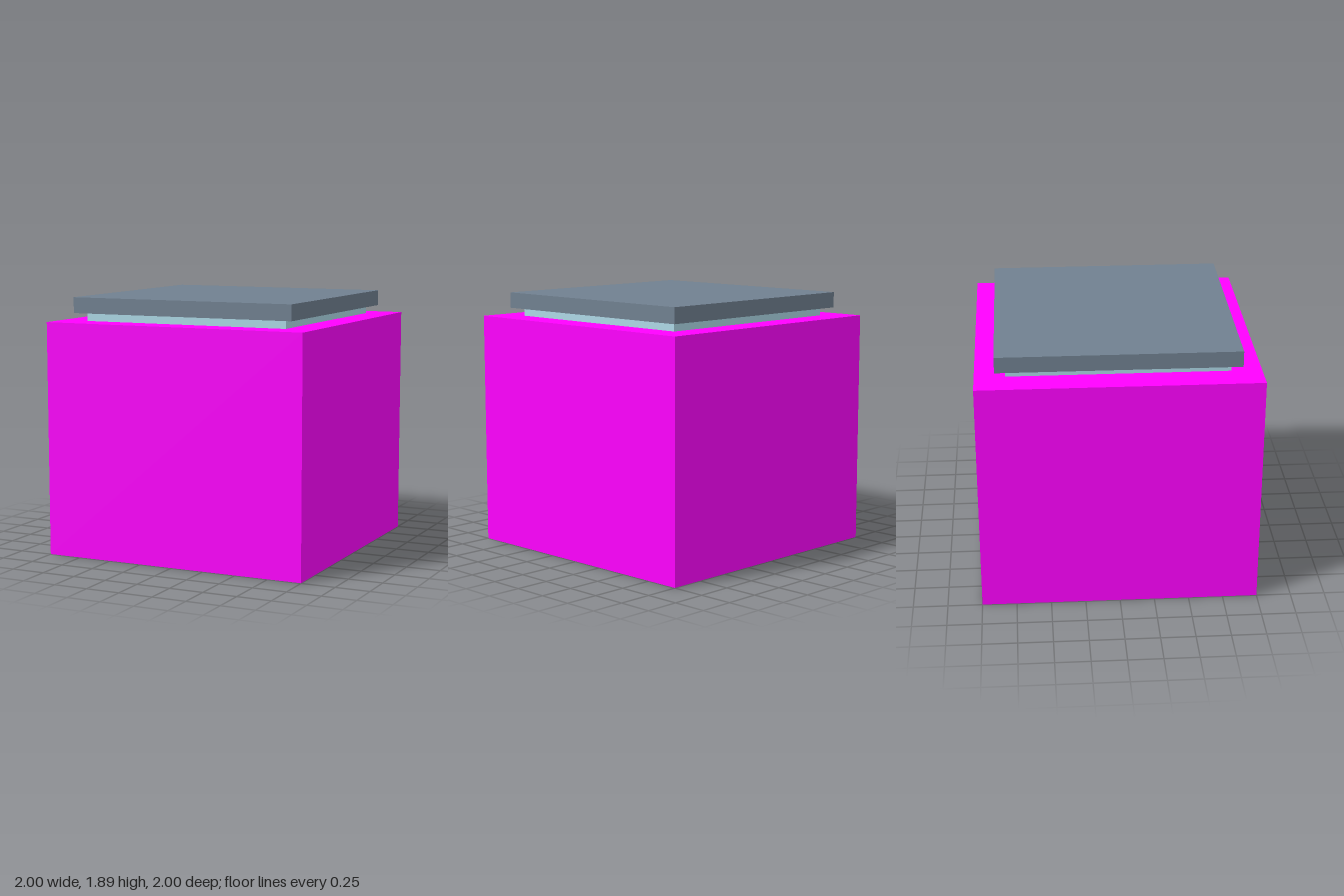
import * as THREE from 'three';

// A square slab of the given width, spanning bottom to top
function slab(name, width, bottom, top, color) {
  const mesh = new THREE.Mesh(
    new THREE.BoxGeometry(width, top - bottom, width),
    new THREE.MeshStandardMaterial({ color })
  );
  mesh.name = name;
  mesh.position.y = (bottom + top) / 2;
  return mesh;
}

export function createModel() {
  const group = new THREE.Group();
  group.name = 'box';
  group.add(
    // base plate set into the underside, a hair proud of the body
    slab('basePlate', 1.82, 0, 0.1, 0x708090),
    // main cube
    slab('body', 2, 0.001, 1.715, 0xff00ff),
    // pale recessed band between body and lid
    slab('neck', 1.57, 1.7, 1.79, 0xadd8e6),
    // overhanging lid
    slab('lid', 1.715, 1.775, 1.89, 0x708090)
  );
  return group;
}
